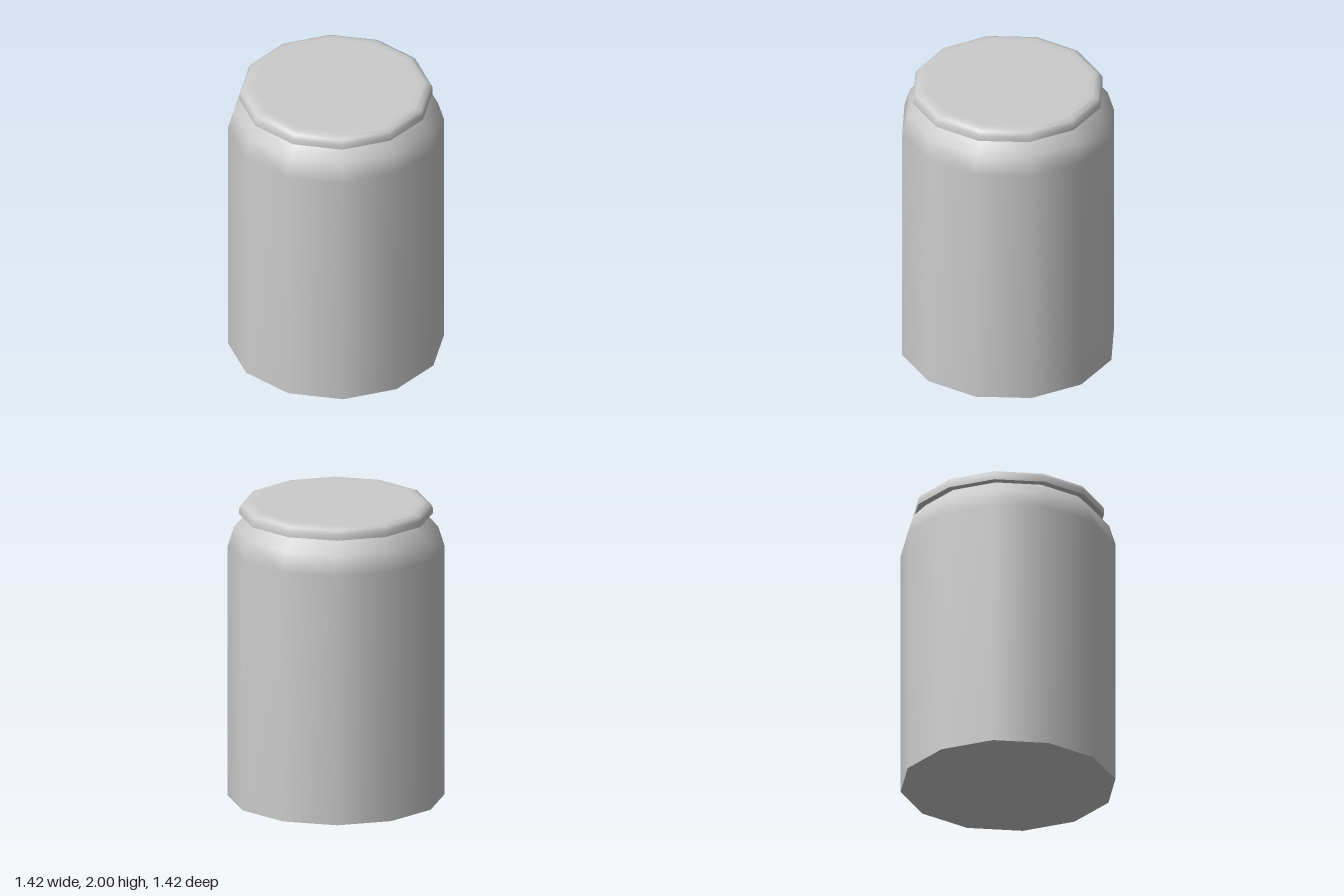
import * as THREE from 'three';

const SIDES = 12;
const material = new THREE.MeshStandardMaterial({ color: 0xcccccc });

// One smooth turned surface; separate surfaces meet in a sharp edge
function turned(name, profile) {
  const points = profile.map(([r, y]) => new THREE.Vector2(r, y));
  const mesh = new THREE.Mesh(new THREE.LatheGeometry(points, SIDES), material);
  mesh.name = name;
  return mesh;
}

export function createModel() {
  const model = new THREE.Group();
  model.name = 'jar';

  // Jar: flat base, straight wall, rounded shoulder
  const body = new THREE.Group();
  body.name = 'body';
  body.add(
    turned('base', [[0, 0], [0.71, 0]]),
    turned('wall', [[0.71, 0], [0.71, 1.7], [0.67, 1.83], [0.585, 1.92]])
  );

  // Lid: overhanging rim with a softened top edge
  const lid = new THREE.Group();
  lid.name = 'lid';
  lid.add(
    turned('lidUnderside', [[0, 1.92], [0.635, 1.92]]),
    turned('lidTop', [[0.635, 1.92], [0.635, 1.957], [0.62, 1.985], [0.585, 2], [0.54, 2], [0, 2]])
  );

  model.add(body, lid);
  return model;
}
